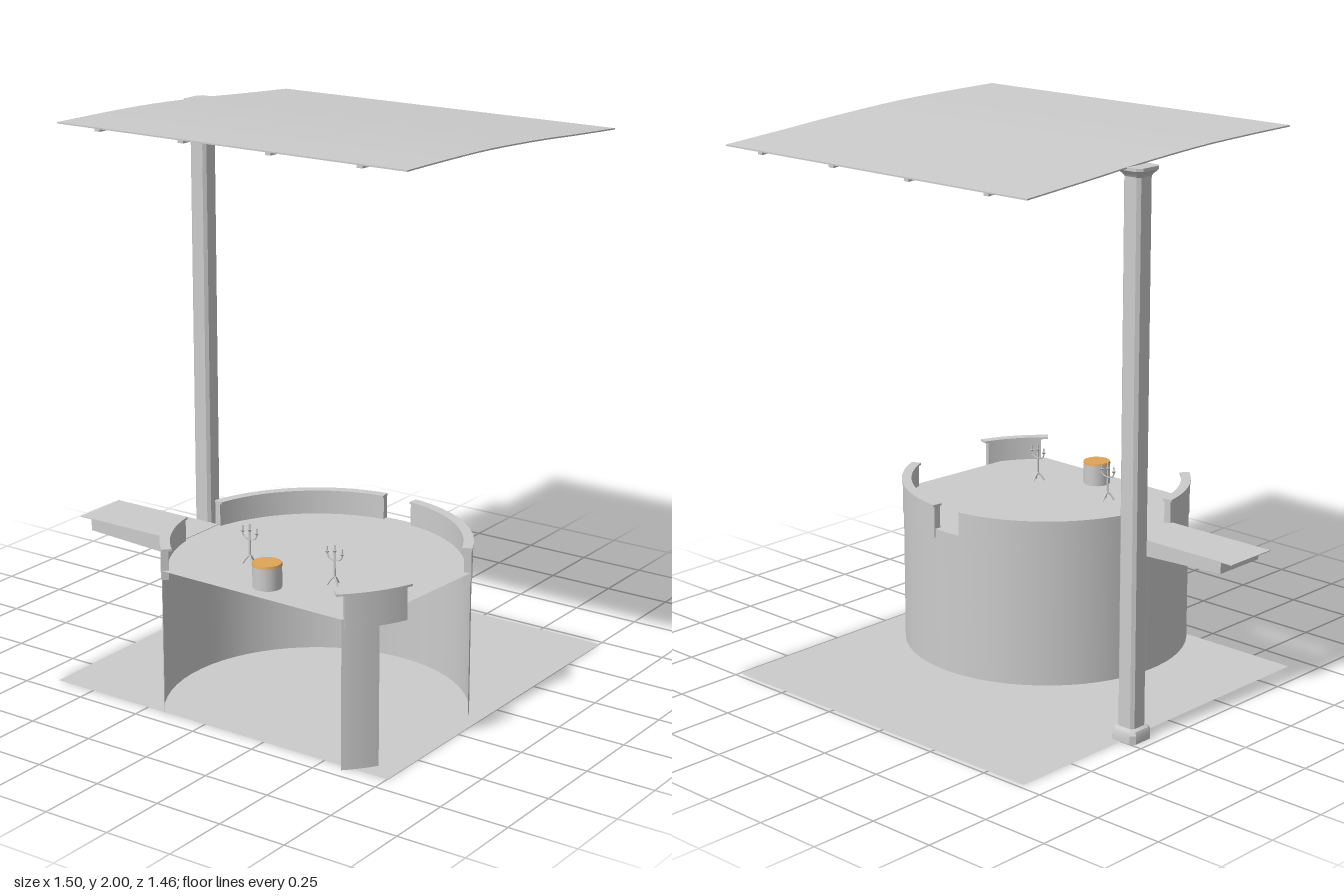
import * as THREE from 'three';
import { toCreasedNormals } from 'three/addons/utils/BufferGeometryUtils.js';

const rad = THREE.MathUtils.degToRad;
const grey = new THREE.MeshStandardMaterial({ color: 0xcccccc });
const thin = new THREE.MeshStandardMaterial({ color: 0xcccccc, side: THREE.DoubleSide });
const orange = new THREE.MeshStandardMaterial({ color: 0xe0a458 });

// Centre and radius of the round platform
const CX = 0.22, CZ = 0.33, R = 0.53, DECK = 0.53;

function add(parent, name, geometry, material = grey, x = 0, y = 0, z = 0) {
  const mesh = new THREE.Mesh(geometry, material);
  mesh.name = name;
  mesh.position.set(x, y, z);
  parent.add(mesh);
  return mesh;
}

// Angles run from +x towards +z, in degrees
function wallGeometry(a0, a1, height) {
  return new THREE.CylinderGeometry(R, R, height, Math.ceil((a1 - a0) / 6), 1, true,
    rad(90 - a1), rad(a1 - a0));
}

function arcBlock(a0, a1, inner, outer, height) {
  const s = new THREE.Shape();
  s.absarc(0, 0, outer, rad(a0), rad(a1), false);
  s.absarc(0, 0, inner, rad(a1), rad(a0), true);
  s.closePath();
  const g = new THREE.ExtrudeGeometry(s, { depth: height, bevelEnabled: false, curveSegments: 16 });
  return toCreasedNormals(g.rotateX(Math.PI / 2), 0.6);
}

// Curved strip following the roof line, extruded along x
const roofLine = new THREE.SplineCurve([
  [0.595, 2], [0.35, 1.997], [0.1, 1.99], [-0.2, 1.972], [-0.45, 1.952], [-0.715, 1.932],
].map(p => new THREE.Vector2(...p))).getPoints(20);

function roofStrip(x0, x1, top, bottom) {
  const upper = roofLine.map(p => new THREE.Vector2(p.x, p.y - top));
  const lower = roofLine.map(p => new THREE.Vector2(p.x, p.y - bottom)).reverse();
  const g = new THREE.ExtrudeGeometry(new THREE.Shape([...upper, ...lower]),
    { depth: x1 - x0, bevelEnabled: false });
  g.rotateY(-Math.PI / 2).translate(x1, 0, 0);
  return toCreasedNormals(g, 0.5);
}

// Square column with cut corners, lofted from [height, half width] rings
function columnGeometry(rings) {
  const pos = [], index = [];
  const outline = [[1, -0.7], [1, 0.7], [0.7, 1], [-0.7, 1], [-1, 0.7], [-1, -0.7], [-0.7, -1], [0.7, -1]];
  for (const [y, w] of rings) for (const [x, z] of outline) pos.push(x * w, y, z * w);
  for (let r = 0; r < rings.length - 1; r++) {
    for (let i = 0; i < 8; i++) {
      const a = r * 8 + i, b = r * 8 + (i + 1) % 8;
      index.push(a, a + 8, b, b, a + 8, b + 8);
    }
  }
  const last = (rings.length - 1) * 8;
  for (let i = 1; i < 7; i++) index.push(0, i, i + 1, last, last + i + 1, last + i);
  const g = new THREE.BufferGeometry();
  g.setAttribute('position', new THREE.Float32BufferAttribute(pos, 3));
  g.setIndex(index);
  return toCreasedNormals(g, 0.4);
}

function tube(points, radius) {
  const curve = new THREE.CatmullRomCurve3(points.map(p => new THREE.Vector3(...p)));
  return new THREE.TubeGeometry(curve, 8, radius, 6);
}

// Thin stand with tripod feet and two raised arms
function createStand() {
  const stand = new THREE.Group();
  stand.name = 'branchedStand';
  add(stand, 'pole', new THREE.CylinderGeometry(0.003, 0.004, 0.12, 8), grey, 0, 0.085, 0);
  add(stand, 'poleCup', new THREE.CylinderGeometry(0.008, 0.004, 0.008, 8), grey, 0, 0.122, 0);
  for (let i = 0; i < 3; i++) {
    const a = rad(30 + i * 120), c = Math.cos(a), s = Math.sin(a);
    add(stand, 'foot', tube([[0, 0.035, 0], [c * 0.012, 0.022, s * 0.012], [c * 0.025, 0.003, s * 0.025]], 0.003));
  }
  for (const side of [-1, 1]) {
    add(stand, 'arm', tube([[0, 0.09, 0], [side * 0.02, 0.094, 0], [side * 0.029, 0.105, 0], [side * 0.03, 0.135, 0]], 0.0025));
    add(stand, 'armCup', new THREE.CylinderGeometry(0.008, 0.004, 0.006, 8), grey, side * 0.03, 0.115, 0);
  }
  return stand;
}

export function createModel() {
  const model = new THREE.Group();
  model.name = 'roundPlatformWithCanopy';

  // Ground sheet
  add(model, 'ground', new THREE.PlaneGeometry(1.41, 1.41).rotateX(-Math.PI / 2), thin, 0.045, 0, -0.025);

  // Round platform: open wall, pillar and deck cut straight across the openings
  const platform = new THREE.Group();
  platform.name = 'platform';
  platform.position.set(CX, 0, CZ);
  model.add(platform);
  const spans = [[32, 46], [135.8, 335.5]];
  const deckPoints = [];
  spans.forEach(([a0, a1], i) => {
    add(platform, i ? 'mainWall' : 'frontPillar', wallGeometry(a0, a1, DECK), thin, 0, DECK / 2, 0);
    const n = Math.ceil((a1 - a0) / 6);
    for (let k = 0; k <= n; k++) {
      const a = rad(a0 + (a1 - a0) * k / n);
      deckPoints.push(new THREE.Vector2(R * Math.cos(a), R * Math.sin(a)));
    }
  });
  add(platform, 'deck', new THREE.ShapeGeometry(new THREE.Shape(deckPoints)).rotateX(Math.PI / 2), thin, 0, DECK, 0);

  // Parapets with a thin coping: [start, end, coping start, coping end]
  const parapets = [
    [21, 45, 19, 48], [136, 170, 132, 170], [192, 263, 192, 263], [276, 335.5, 276, 336],
  ];
  for (const [a0, a1, c0, c1] of parapets) {
    add(platform, 'parapet', arcBlock(a0, a1, 0.507, 0.533, 0.115), grey, 0, 0.612, 0);
    add(platform, 'coping', arcBlock(c0, c1, 0.5, 0.536, 0.008), grey, 0, 0.62, 0);
  }

  // Side bridge: tapering beam under a thin walkway
  const beam = new THREE.Shape([[-0.7, 0.528], [-0.7, 0.487], [-0.3, 0.468], [-0.3, 0.528]]
    .map(p => new THREE.Vector2(...p)));
  add(model, 'bridgeBeam', new THREE.ExtrudeGeometry(beam, { depth: 0.21, bevelEnabled: false }), grey, 0, 0, 0.222);
  add(model, 'bridgeWalkway', new THREE.BoxGeometry(0.46, 0.003, 0.215), grey, -0.52, 0.5305, 0.327);

  // Column with moulded base and capital
  add(model, 'column', columnGeometry([
    [0, 0.053], [0.03, 0.053], [0.042, 0.048], [0.048, 0.036], [1.935, 0.036],
    [1.942, 0.04], [1.952, 0.05], [1.957, 0.054], [1.968, 0.054],
  ]), grey, -0.663, 0, -0.199);

  // Curved roof sheet and the ribs below it
  add(model, 'roof', roofStrip(-0.662, 0.748, 0, 0.005));
  for (let i = 0; i < 4; i++) {
    const x = -0.488 + i * 0.353;
    add(model, 'roofRib', roofStrip(x - 0.011, x + 0.011, 0.004, 0.014));
  }

  // Small drum table with a coloured top
  add(model, 'drumBody', new THREE.CylinderGeometry(0.05, 0.05, 0.078, 14), grey, 0.217, DECK + 0.039, 0.61);
  add(model, 'drumTop', new THREE.CylinderGeometry(0.05, 0.052, 0.009, 14), orange, 0.217, 0.6125, 0.61);

  // Pair of stands
  for (const x of [0.042, 0.395]) {
    const stand = createStand();
    stand.position.set(x, DECK, 0.473);
    model.add(stand);
  }
  return model;
}
